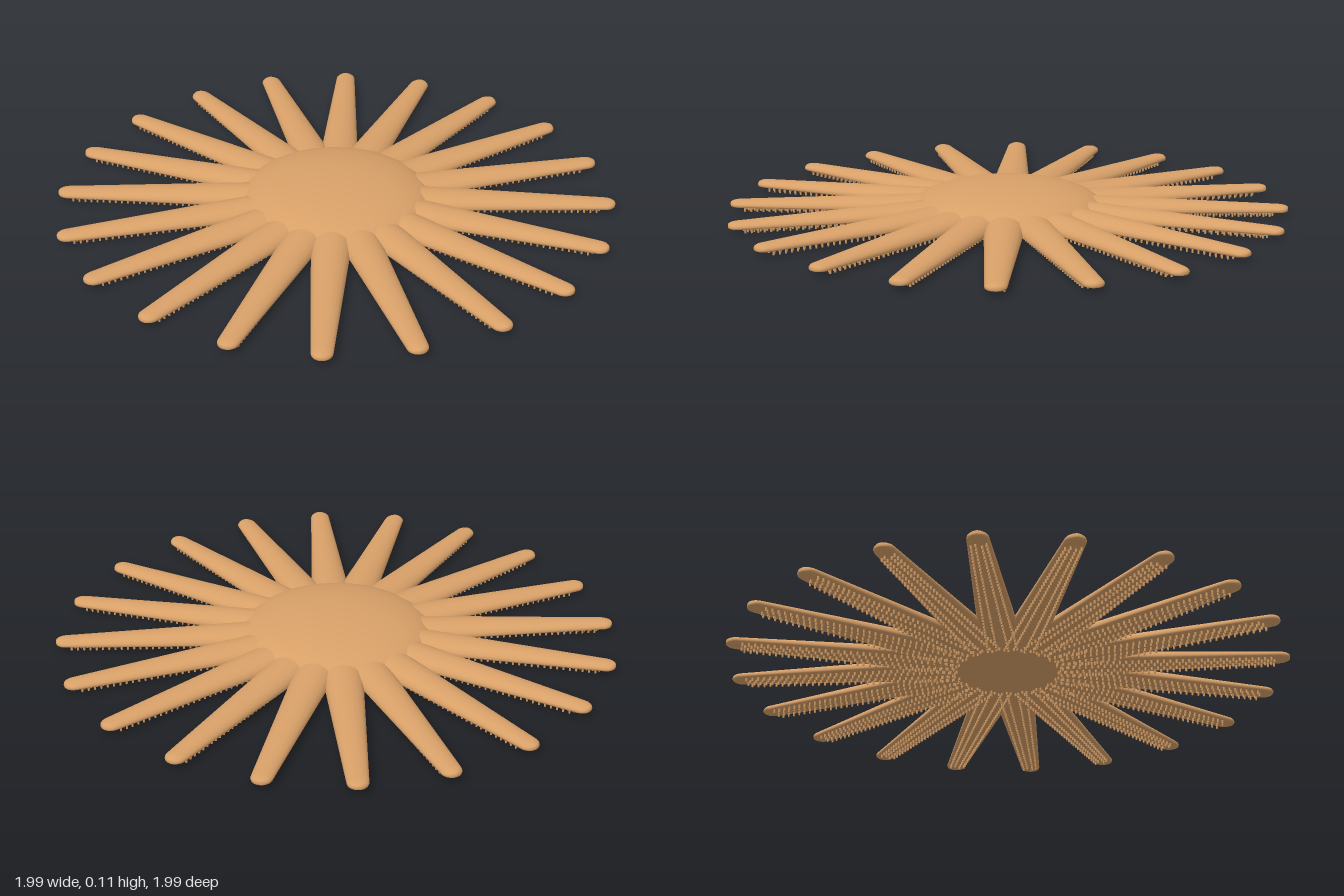
import * as THREE from 'three';
import { mergeGeometries } from 'three/addons/utils/BufferGeometryUtils.js';

const ARMS = 20;
const ROOT = 0.12, TIP = 0.995, CAP = 0.037;

// Half width of an arm at distance r from the centre
const halfWidth = (r) => THREE.MathUtils.mapLinear(r, 0.34, 0.96, 0.069, 0.036);

// Tapered arm along +z: domed top, nearly flat underside, round tip
function armGeometry() {
  const stations = [ROOT, 0.25, 0.34, 0.5, 0.65, 0.8, 0.9];
  for (let k = 0; k <= 8; k++) stations.push(TIP - CAP + CAP * Math.sin((k / 8) * Math.PI / 2));
  const sides = 20, pos = [], index = [];
  stations.forEach((r, i) => {
    const u = Math.max(0, (r - (TIP - CAP)) / CAP);
    const round = Math.sqrt(Math.max(0, 1 - u * u));
    const w = halfWidth(Math.min(r, TIP - CAP)) * round;
    const mid = 0.022;
    const top = THREE.MathUtils.mapLinear(r, 0.31, TIP, 0.042, 0.016) * Math.sqrt(round);
    const low = 0.01 * Math.sqrt(round);
    for (let j = 0; j < sides; j++) {
      const a = (j / sides) * Math.PI * 2, s = Math.sin(a);
      const y = s > 0 ? mid + top * s : mid - low * Math.sqrt(-s);
      pos.push(w * Math.cos(a), y, r);
      if (i < stations.length - 1) {
        const p = i * sides + j, q = i * sides + (j + 1) % sides;
        index.push(p, q, p + sides, q, q + sides, p + sides);
      }
    }
  });
  const g = new THREE.BufferGeometry();
  g.setAttribute('position', new THREE.Float32BufferAttribute(pos, 3));
  g.setIndex(index);
  g.computeVertexNormals();
  return g;
}

// Four rows of tiny tube feet under one arm
function feetGeometry() {
  const feet = [];
  for (let r = 0.18; r < 0.95; r += 0.022) {
    [-0.66, -0.26, 0.26, 0.66].forEach((f, row) => {
      const foot = new THREE.CylinderGeometry(0.0045, 0.0035, 0.017, 6, 1);
      foot.translate(halfWidth(r) * f, 0.0085, r + (row % 2) * 0.011);
      feet.push(foot);
    });
  }
  return mergeGeometries(feet);
}

export function createModel() {
  const model = new THREE.Group();
  model.name = 'seaStar';
  const skin = new THREE.MeshStandardMaterial({ color: 0xd8a068 });
  skin.name = 'sandyOrange';

  // Central disc: shallow dome with a flat underside
  const profile = [new THREE.Vector2(0, 0.011), new THREE.Vector2(0.2, 0.011), new THREE.Vector2(0.3, 0.015)];
  for (let k = 0; k <= 20; k++) {
    const a = (k / 20) * Math.PI / 2;
    profile.push(new THREE.Vector2(k === 20 ? 0 : 0.335 * Math.cos(a), 0.03 + 0.08 * Math.sin(a)));
  }
  const disc = new THREE.Mesh(new THREE.LatheGeometry(profile, 64), skin);
  disc.name = 'centralDisc';
  model.add(disc);

  // Ring of arms, each with its tube feet
  const armShape = armGeometry(), feetShape = feetGeometry();
  for (let i = 0; i < ARMS; i++) {
    const arm = new THREE.Group();
    arm.name = `arm${i + 1}`;
    const body = new THREE.Mesh(armShape, skin);
    body.name = 'armBody';
    const feet = new THREE.Mesh(feetShape, skin);
    feet.name = 'tubeFeet';
    arm.add(body, feet);
    arm.rotation.y = (i / ARMS) * Math.PI * 2;
    model.add(arm);
  }
  return model;
}
